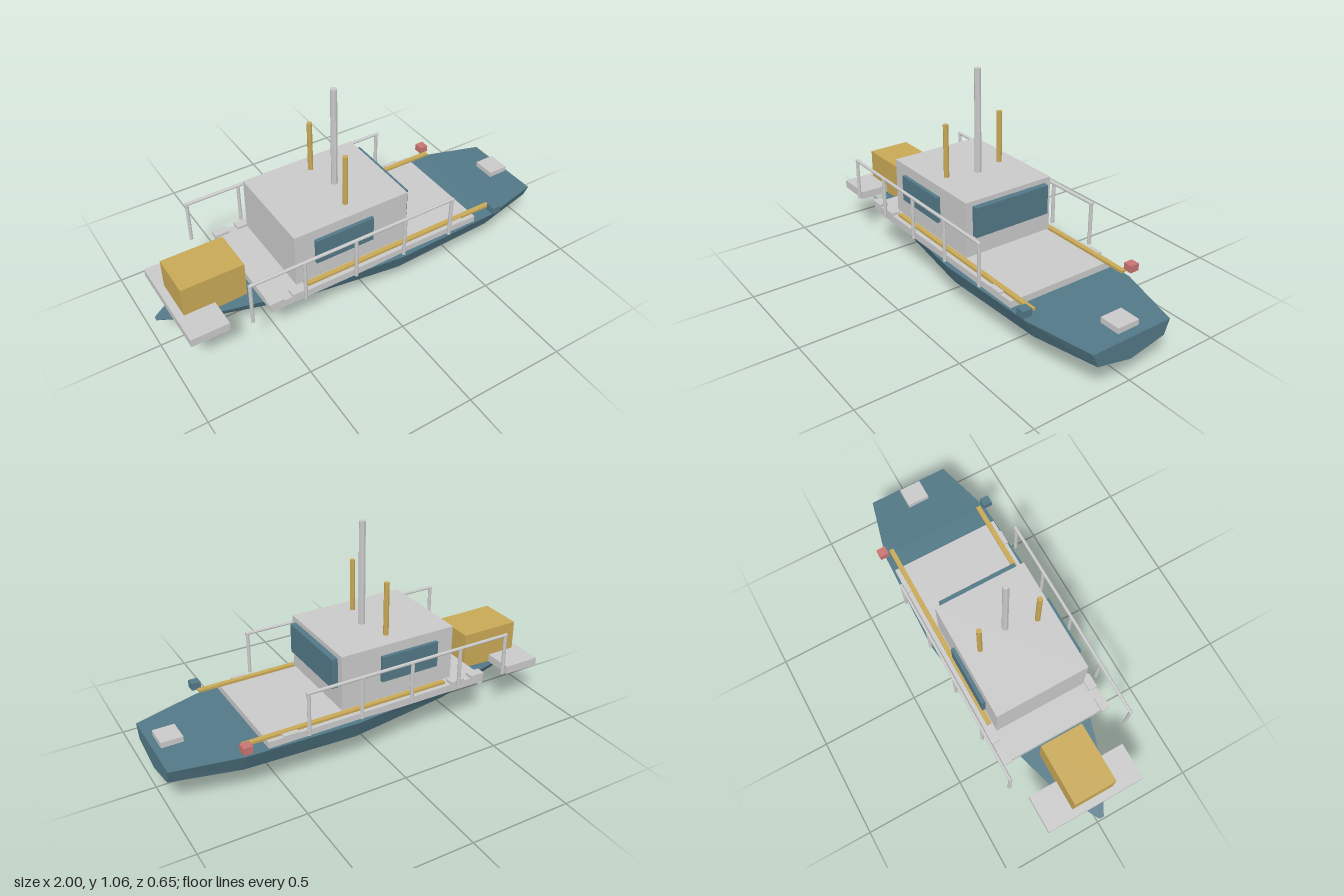
import * as THREE from 'three';

const makeMaterial = (name, color, side = THREE.FrontSide) => {
  const m = new THREE.MeshStandardMaterial({ color, side, flatShading: true });
  m.name = name;
  return m;
};

// Hull lofted through hard-chine stations running from stern to bow
function hullGeometry() {
  // x, deck half width, deck y, chine half width, chine y, keel y
  const stations = [
    [-1, 0.012, 0.176, 0.008, 0.174, 0.171],
    [-0.8, 0.125, 0.2, 0.1, 0.162, 0.137],
    [-0.4, 0.245, 0.218, 0.205, 0.145, 0.105],
    [0.13, 0.315, 0.234, 0.27, 0.134, 0.08],
    [0.68, 0.295, 0.231, 0.25, 0.137, 0.09],
    [1, 0.213, 0.216, 0.185, 0.147, 0.108],
  ];
  const rings = stations.map(([x, dw, dy, cw, cy, ky]) => [
    [x, dy, dw], [x, cy, cw], [x, ky, 0], [x, cy, -cw], [x, dy, -dw],
  ]);
  const pos = [];
  const tri = (...pts) => pts.forEach((p) => pos.push(...p));
  for (let i = 0; i < rings.length - 1; i++) {
    const a = rings[i], b = rings[i + 1];
    for (let j = 0; j < 5; j++) {
      const k = (j + 1) % 5; // the last strip is the deck
      tri(a[j], a[k], b[k]);
      tri(a[j], b[k], b[j]);
    }
  }
  const stern = rings[0], bow = rings[rings.length - 1];
  for (let j = 1; j < 4; j++) {
    tri(bow[0], bow[j], bow[j + 1]);
    tri(stern[0], stern[j + 1], stern[j]);
  }
  const g = new THREE.BufferGeometry();
  g.setAttribute('position', new THREE.Float32BufferAttribute(pos, 3));
  g.computeVertexNormals();
  return g;
}

export function createModel() {
  const boat = new THREE.Group();
  boat.name = 'patrolBoat';
  const blue = makeMaterial('hullBlue', 0x527886);
  const grey = makeMaterial('lightGrey', 0xc9c9c9);
  const ochre = makeMaterial('ochre', 0xc8a856);
  const red = makeMaterial('portRed', 0xc87470);

  const add = (name, geometry, material) => {
    const mesh = new THREE.Mesh(geometry, material);
    mesh.name = name;
    boat.add(mesh);
    return mesh;
  };
  // Box given by its minimum and maximum on each axis
  const box = (name, material, x0, x1, y0, y1, z0, z1) =>
    add(name, new THREE.BoxGeometry(x1 - x0, y1 - y0, z1 - z0), material)
      .position.set((x0 + x1) / 2, (y0 + y1) / 2, (z0 + z1) / 2);
  // Upright pole
  const pole = (name, material, x, z, y0, y1, r) =>
    add(name, new THREE.CylinderGeometry(r, r, y1 - y0, 8), material)
      .position.set(x, (y0 + y1) / 2, z);

  add('hull', hullGeometry(), blue);

  // Deck, cabin and windscreen
  box('deckPlatform', grey, -0.567, 0.572, 0.227, 0.264, -0.288, 0.288);
  box('cabin', grey, -0.413, 0.184, 0.275, 0.549, -0.24, 0.24);
  box('windscreen', blue, 0.184, 0.214, 0.378, 0.525, -0.204, 0.204);
  box('bowHatch', grey, 0.87, 0.973, 0.234, 0.261, -0.057, 0.057);

  // Stern platform, engine box and rudder post
  box('sternPlatform', grey, -0.942, -0.755, 0.2, 0.241, -0.258, 0.258);
  box('engineBox', ochre, -0.905, -0.598, 0.17, 0.39, -0.11, 0.11);
  pole('rudderPost', grey, -0.8, 0, 0, 0.2, 0.016);

  // Mast
  pole('mast', grey, -0.06, 0, 0.549, 1.06, 0.016);

  // Parts repeated on both sides
  for (const s of [-1, 1]) {
    const sideBox = (name, mat, x0, x1, y0, y1, z0, z1) =>
      box(name, mat, x0, x1, y0, y1, Math.min(s * z0, s * z1), Math.max(s * z0, s * z1));

    sideBox('sideWindow', blue, -0.316, -0.015, 0.375, 0.503, 0.246, 0.264);
    sideBox('deckPole', ochre, -0.366, 0.68, 0.264, 0.276, 0.243, 0.267);
    sideBox('navigationLight', s < 0 ? red : blue, 0.658, 0.703, 0.263, 0.298, 0.278, 0.325);
    for (const x of [-0.54, -0.422, 0.463]) {
      sideBox('cleat', grey, x - 0.037, x + 0.037, 0.262, x > 0 ? 0.272 : 0.278, 0.248, 0.292);
    }
    pole('antenna', ochre, -0.098, s * 0.153, 0.549, 0.81, 0.013);

    // Guard rail
    const rail = add('guardRail', new THREE.CylinderGeometry(0.008, 0.008, 1.08, 8), grey);
    rail.rotation.z = Math.PI / 2;
    rail.position.set(-0.14, 0.469, s * 0.317);
    for (let i = 0; i < 5; i++) {
      pole('railPost', grey, -0.673 + i * 0.2655, s * 0.317, 0.257, 0.469, 0.009);
    }
  }
  return boat;
}
